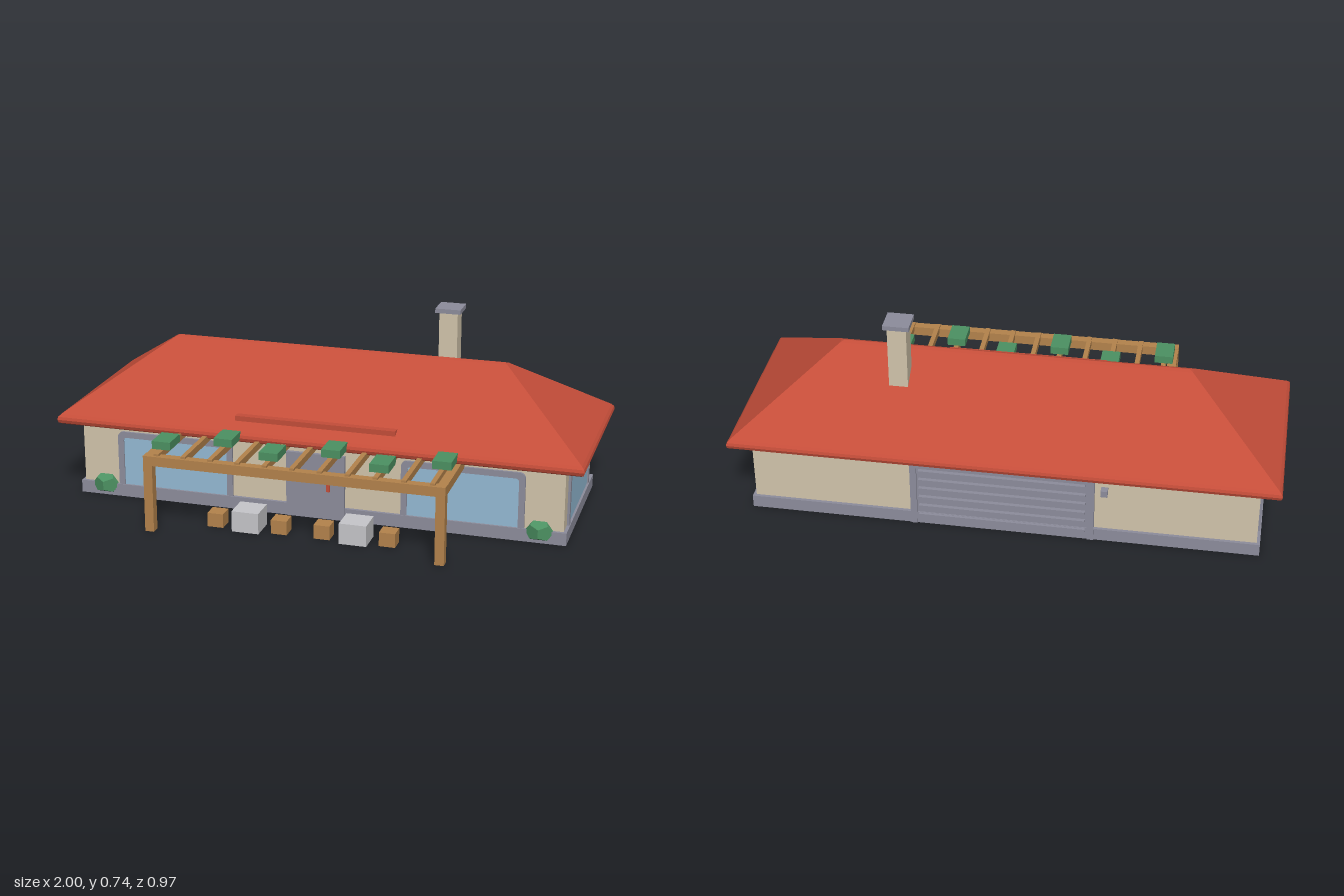
import * as THREE from 'three';

const mat = (name, color) => {
  const m = new THREE.MeshStandardMaterial({ color });
  m.name = name;
  return m;
};

export function createModel() {
  const house = new THREE.Group();
  house.name = 'house';

  const roofRed = mat('roofRed', 0xc44d39);
  const plaster = mat('plaster', 0xd2c5ac);
  const trim = mat('trimGrey', 0x8d8d9c);
  const glass = mat('glassBlue', 0x94bad4);
  const wood = mat('wood', 0xb4834c);
  const leaf = mat('leafGreen', 0x4c9162);
  const stone = mat('stone', 0xc6c6ca);

  const add = (name, geo, material, parent = house) => {
    const m = new THREE.Mesh(geo, material);
    m.name = name;
    parent.add(m);
    return m;
  };
  // Box given by its min and max on each axis
  const box = (name, material, [x0, x1], [y0, y1], [z0, z1], parent) => {
    const m = add(name, new THREE.BoxGeometry(x1 - x0, y1 - y0, z1 - z0), material, parent);
    m.position.set((x0 + x1) / 2, (y0 + y1) / 2, (z0 + z1) / 2);
    return m;
  };

  const ZC = -0.12; // middle of the house in depth

  // Foundation and walls
  box('foundation', trim, [-0.937, 0.937], [0, 0.048], [ZC - 0.308, ZC + 0.308]);
  box('walls', plaster, [-0.925, 0.925], [0.01, 0.3], [ZC - 0.296, ZC + 0.296]);

  // Hipped roof: rectangular rings [inset, y], rounded eave below, ridge on top
  const rings = [[0.014, 0.288], [0.004, 0.294], [0, 0.306], [0.003, 0.317], [0.012, 0.327],
    [0.352, 0.565], [0.3655, 0.57]];
  const corners = ([inset, y]) => {
    const x = 1 - inset, z = 0.3665 - inset;
    return [[-x, y, z], [x, y, z], [x, y, -z], [-x, y, -z]];
  };
  const pos = [];
  const quad = (a, b, c, d) => pos.push(...a, ...b, ...c, ...a, ...c, ...d);
  for (let i = 0; i < rings.length - 1; i++) {
    const lo = corners(rings[i]), hi = corners(rings[i + 1]);
    for (let k = 0; k < 4; k++) {
      const n = (k + 1) % 4;
      quad(lo[k], lo[n], hi[n], hi[k]);
    }
  }
  const under = corners(rings[0]), ridge = corners(rings[rings.length - 1]);
  quad(under[3], under[2], under[1], under[0]);
  quad(...ridge);
  const roofGeo = new THREE.BufferGeometry();
  roofGeo.setAttribute('position', new THREE.Float32BufferAttribute(pos, 3));
  roofGeo.computeVertexNormals();
  add('roof', roofGeo, roofRed).position.z = ZC + 0.0015;
  box('roofBar', roofRed, [-0.305, 0.305], [0.355, 0.374], [0.165, 0.198]);

  // Chimney with cap
  box('chimney', plaster, [0.37, 0.44], [0.4, 0.72], [-0.257, -0.187]);
  box('chimneyCap', trim, [0.357, 0.453], [0.72, 0.737], [-0.27, -0.174]);

  // Rounded-corner window: frame with an opening and a thin pane behind it
  const rounded = (Type, w, y0, y1, r) => {
    const s = new Type();
    s.moveTo(-w, y0);
    s.lineTo(w, y0);
    s.lineTo(w, y1 - r);
    s.absarc(w - r, y1 - r, r, 0, Math.PI / 2, false);
    s.lineTo(-w + r, y1);
    s.absarc(-w + r, y1 - r, r, Math.PI / 2, Math.PI, false);
    s.closePath();
    return s;
  };
  const addWindow = (name, x, z, angle) => {
    const g = new THREE.Group();
    g.name = name;
    const frame = rounded(THREE.Shape, 0.229, 0.005, 0.26, 0.022);
    frame.holes.push(rounded(THREE.Path, 0.206, 0.03, 0.237, 0.012));
    add('windowFrame', new THREE.ExtrudeGeometry(frame,
      { depth: 0.009, bevelEnabled: false, curveSegments: 5 }), trim, g);
    add('windowPane', new THREE.ExtrudeGeometry(rounded(THREE.Shape, 0.21, 0.025, 0.24, 0.012),
      { depth: 0.004, bevelEnabled: false, curveSegments: 5 }), glass, g);
    g.position.set(x, 0, z);
    g.rotation.y = angle;
    house.add(g);
  };
  for (const s of [-1, 1]) {
    addWindow('frontWindow', s * 0.553, ZC + 0.296, 0);
    addWindow('sideWindow', s * 0.925, ZC + 0.003, s * Math.PI / 2);
  }

  // Front door with handle
  box('frontDoor', trim, [-0.112, 0.112], [0, 0.252], [0.17, 0.19]);
  box('doorHandle', roofRed, [0.046, 0.058], [0.112, 0.142], [0.188, 0.2]);

  // Garage door at the back, with frame, slats and a lamp
  box('garageDoor', trim, [-0.335, 0.335], [0, 0.268], [-0.424, -0.41]);
  for (const s of [-1, 1]) {
    box('garageJamb', trim, [s * 0.325 - 0.012, s * 0.325 + 0.012], [0, 0.268], [-0.432, -0.41]);
  }
  box('garageLintel', trim, [-0.337, 0.337], [0.246, 0.268], [-0.432, -0.41]);
  for (let i = 0; i < 6; i++) {
    const y = 0.042 + i * 0.0385;
    box('garageSlat', trim, [-0.305, 0.305], [y - 0.005, y + 0.005], [-0.438, -0.42]);
  }
  box('wallLamp', trim, [-0.385, -0.36], [0.206, 0.231], [-0.444, -0.415]);

  // Pergola
  const pergola = new THREE.Group();
  pergola.name = 'pergola';
  house.add(pergola);
  for (const s of [-1, 1]) {
    const span = [s * 0.541 - 0.017, s * 0.541 + 0.017];
    box('pergolaPost', wood, span, [0, 0.258], [0.45, 0.484], pergola);
    box('pergolaSideBeam', wood, span, [0.256, 0.29], [0.17, 0.452], pergola);
  }
  box('pergolaFrontBeam', wood, [-0.558, 0.558], [0.256, 0.292], [0.45, 0.484], pergola);
  for (let i = -5; i <= 5; i++) {
    const x = i * 0.102;
    box('pergolaRafter', wood, [x - 0.009, x + 0.009], [0.274, 0.3], [0.17, 0.475], pergola);
  }
  // Foliage clumps, staggered on the rafters
  for (let i = 0; i < 6; i++) {
    const x = (i - 2.5) * 0.204, z = i % 2 ? 0.285 : 0.377;
    box('foliage', leaf, [x - 0.035, x + 0.035], [0.3, 0.33], [z - 0.05, z + 0.05], pergola);
  }

  // Tables with a stool on either side, and bushes at the corners
  for (const s of [-1, 1]) {
    const t = s * 0.203;
    box('table', stone, [t - 0.051, t + 0.051], [0, 0.079], [0.298, 0.399]);
    for (const d of [-0.122, 0.122]) {
      box('stool', wood, [t + d - 0.03, t + d + 0.03], [0, 0.053], [0.318, 0.378]);
    }
    const bush = add('bush', new THREE.DodecahedronGeometry(0.056, 0), leaf);
    bush.scale.set(1, 0.82, 0.95);
    bush.position.set(s * 0.838, 0.043, 0.165);
  }
  return house;
}
